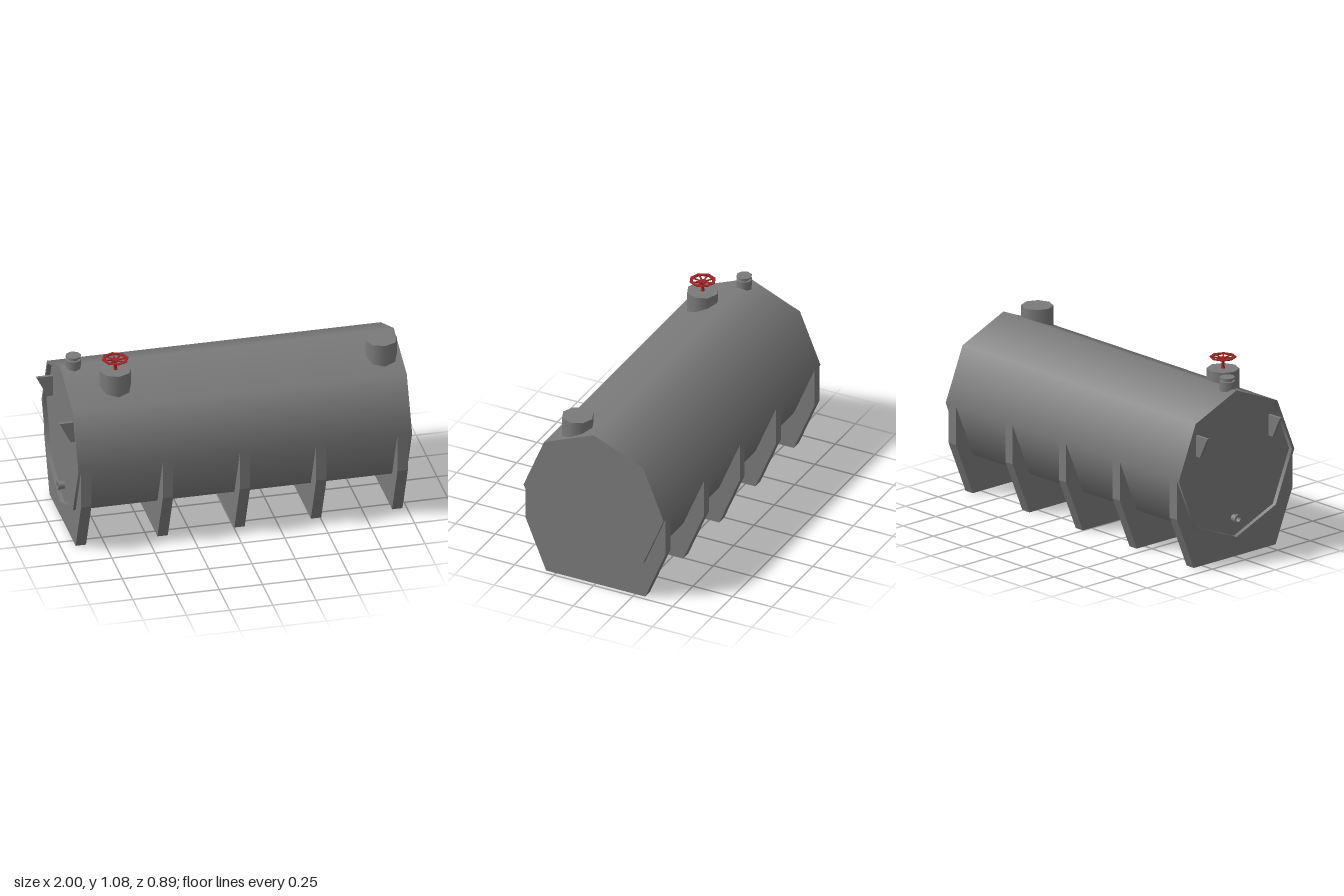
import * as THREE from 'three';
import { mergeGeometries } from 'three/addons/utils/BufferGeometryUtils.js';

const SIDES = 8;
const TANK_R = 0.4425, TANK_Y = 0.5425;

// Turned octagonal solid: smooth around, sharp between profile steps (bottom to top).
function turned(profile) {
  const bands = [];
  for (let i = 0; i < profile.length - 1; i++) {
    const pair = [profile[i], profile[i + 1]].map(([r, y]) => new THREE.Vector2(r, y));
    bands.push(new THREE.LatheGeometry(pair, SIDES));
  }
  return mergeGeometries(bands);
}

export function createModel() {
  const model = new THREE.Group();
  model.name = 'storageTank';
  const steel = new THREE.MeshStandardMaterial({ color: 0x7a7a7a });
  steel.name = 'grey steel';
  const red = new THREE.MeshStandardMaterial({ color: 0xa02424 });
  red.name = 'red paint';

  function add(name, geometry, material, x = 0, y = 0, z = 0, parent = model) {
    const mesh = new THREE.Mesh(geometry, material);
    mesh.name = name;
    mesh.position.set(x, y, z);
    parent.add(mesh);
    return mesh;
  }

  // Tank shell, with a recessed end plate at -x
  const shell = turned([[0, -0.905], [0.425, -0.905], [0.425, -0.93],
    [TANK_R, -0.93], [TANK_R, 1], [0, 1]]).rotateZ(-Math.PI / 2);
  add('tankShell', shell, steel, 0, TANK_Y, 0);

  // Saddle supports, cut to the lower half of the shell
  const saddle = new THREE.Shape();
  saddle.moveTo(-0.443, 0.543);
  [[-0.443, 0.313], [-0.313, 0], [0.313, 0], [0.443, 0.313], [0.443, 0.543]]
    .forEach(([u, v]) => saddle.lineTo(u, v));
  for (let i = 1; i < 4; i++) {
    const a = -i * Math.PI / 4;
    saddle.lineTo(TANK_R * Math.cos(a), TANK_Y + TANK_R * Math.sin(a));
  }
  const saddleGeo = new THREE.ExtrudeGeometry(saddle, { depth: 0.06, bevelEnabled: false })
    .translate(0, 0, -0.03).rotateY(Math.PI / 2);
  [-0.885, -0.412, 0.033, 0.475, 0.945].forEach((x) => add('saddle', saddleGeo, steel, x));

  // Two manholes on the front shoulder
  const manhole = turned([[0.092, 0.84], [0.092, 1.014], [0, 1.014]]);
  [-0.648, 0.89].forEach((x) => add('manhole', manhole, steel, x, 0, 0.157));

  // Vent with neck and cap
  add('vent', turned([[0.045, 0.93], [0.045, 1.024], [0.031, 1.024], [0.031, 1.038],
    [0.045, 1.038], [0.045, 1.047], [0, 1.047]]), steel, -0.853, 0, 0);

  // Handwheel: stem, hub, rim and spokes
  const wheel = new THREE.Group();
  wheel.name = 'handwheel';
  wheel.position.set(-0.648, 1.014, 0.157);
  model.add(wheel);
  add('stem', turned([[0.012, 0], [0.009, 0.012], [0.009, 0.054], [0.02, 0.054],
    [0.02, 0.064], [0, 0.064]]), red, 0, 0, 0, wheel);
  add('rim', turned([[0.058, 0.061], [0.07, 0.061], [0.077, 0.065], [0.077, 0.069],
    [0.058, 0.069], [0.058, 0.061]]), red, 0, 0, 0, wheel);
  const spoke = new THREE.BoxGeometry(0.05, 0.006, 0.008)
    .rotateZ(0.12).translate(0.039, 0.062, 0);
  for (let i = 0; i < SIDES; i++) {
    add('spoke', spoke, red, 0, 0, 0, wheel).rotation.y = i * Math.PI / 4;
  }

  // Pair of tapered brackets on the end plate
  const plate = new THREE.Shape();
  plate.moveTo(-1, 0.776);
  [[-0.938, 0.652], [-0.904, 0.652], [-0.904, 0.776]].forEach(([x, y]) => plate.lineTo(x, y));
  const bracket = new THREE.ExtrudeGeometry(plate, { depth: 0.018, bevelEnabled: false })
    .translate(0, 0, -0.009);
  [-0.28, 0.277].forEach((z) => add('bracket', bracket, steel, 0, 0, z));

  // Drain outlet, open at the end
  const drain = turned([[0, 0.01], [0.017, 0.01], [0.017, -0.02], [0.029, -0.02],
    [0.029, -0.008], [0.023, -0.008], [0.023, 0.025]]).rotateZ(-Math.PI / 2);
  add('drainOutlet', drain, steel, -0.925, 0.225, 0);

  return model;
}
